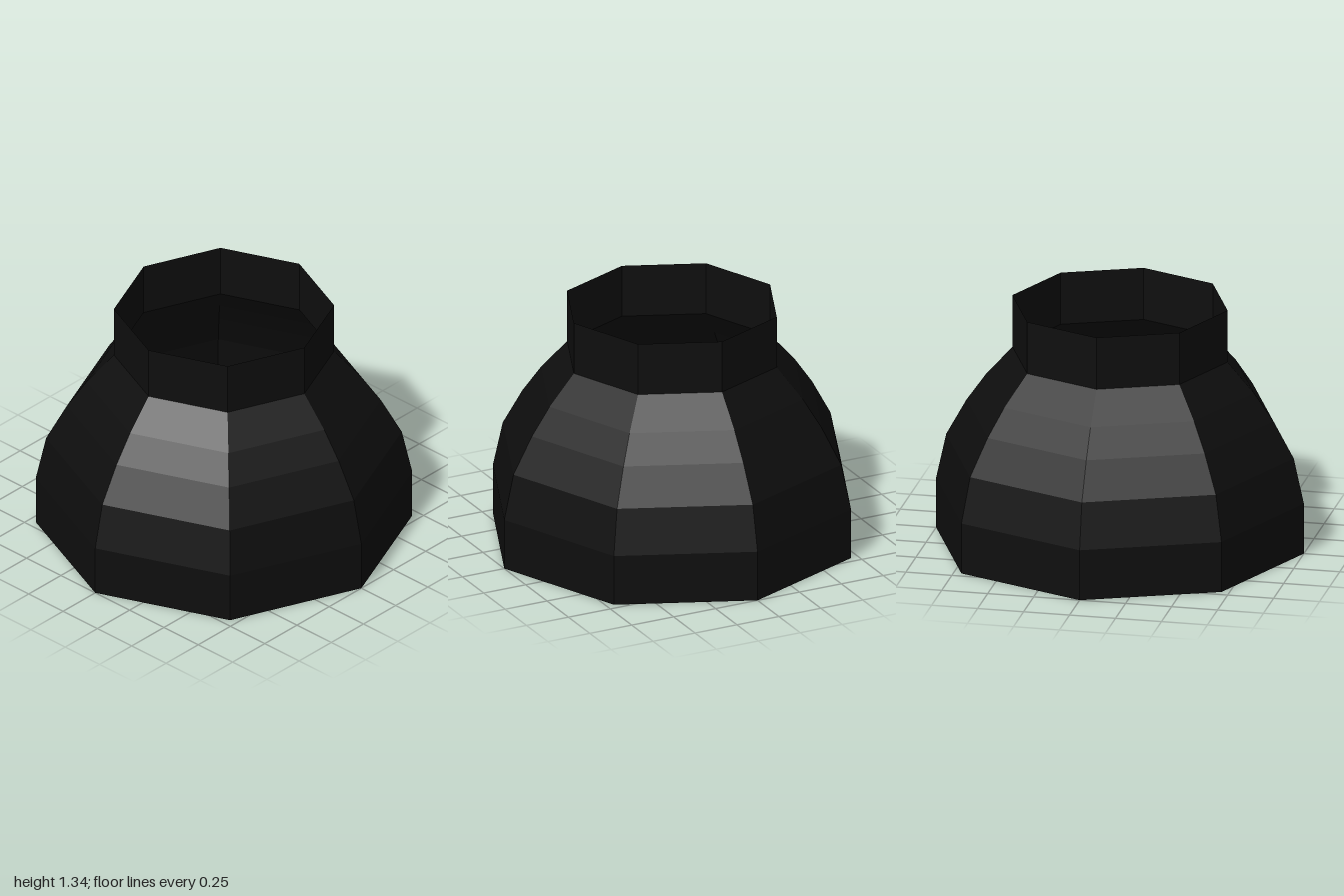
import * as THREE from 'three';

const SIDES = 8;

export function createModel() {
  const black = new THREE.MeshStandardMaterial({ color: 0x0e0e0e, flatShading: true, side: THREE.DoubleSide });
  black.name = 'black shell';
  const grey = new THREE.MeshStandardMaterial({ color: 0xcccccc, flatShading: true, side: THREE.DoubleSide });
  grey.name = 'light grey';

  const group = new THREE.Group();
  group.name = 'octagonalShade';

  // Thin eight-sided shell: bottom lip, bulging body, straight open neck
  const profile = [
    [0.87, 0.02], [1, 0], [1, 0.28], [0.945, 0.53],
    [0.835, 0.73], [0.73, 0.88], [0.585, 1.045], [0.585, 1.335],
  ].map(([r, y]) => new THREE.Vector2(r, y));
  const shell = new THREE.Mesh(new THREE.LatheGeometry(profile, SIDES), black);
  shell.name = 'shell';
  group.add(shell);

  // Pale plate closing the bottom, slightly recessed in the lip
  const plate = new THREE.Mesh(new THREE.CircleGeometry(0.87, SIDES).rotateX(-Math.PI / 2), grey);
  plate.name = 'bottomPlate';
  plate.position.y = 0.02;
  group.add(plate);

  return group;
}
